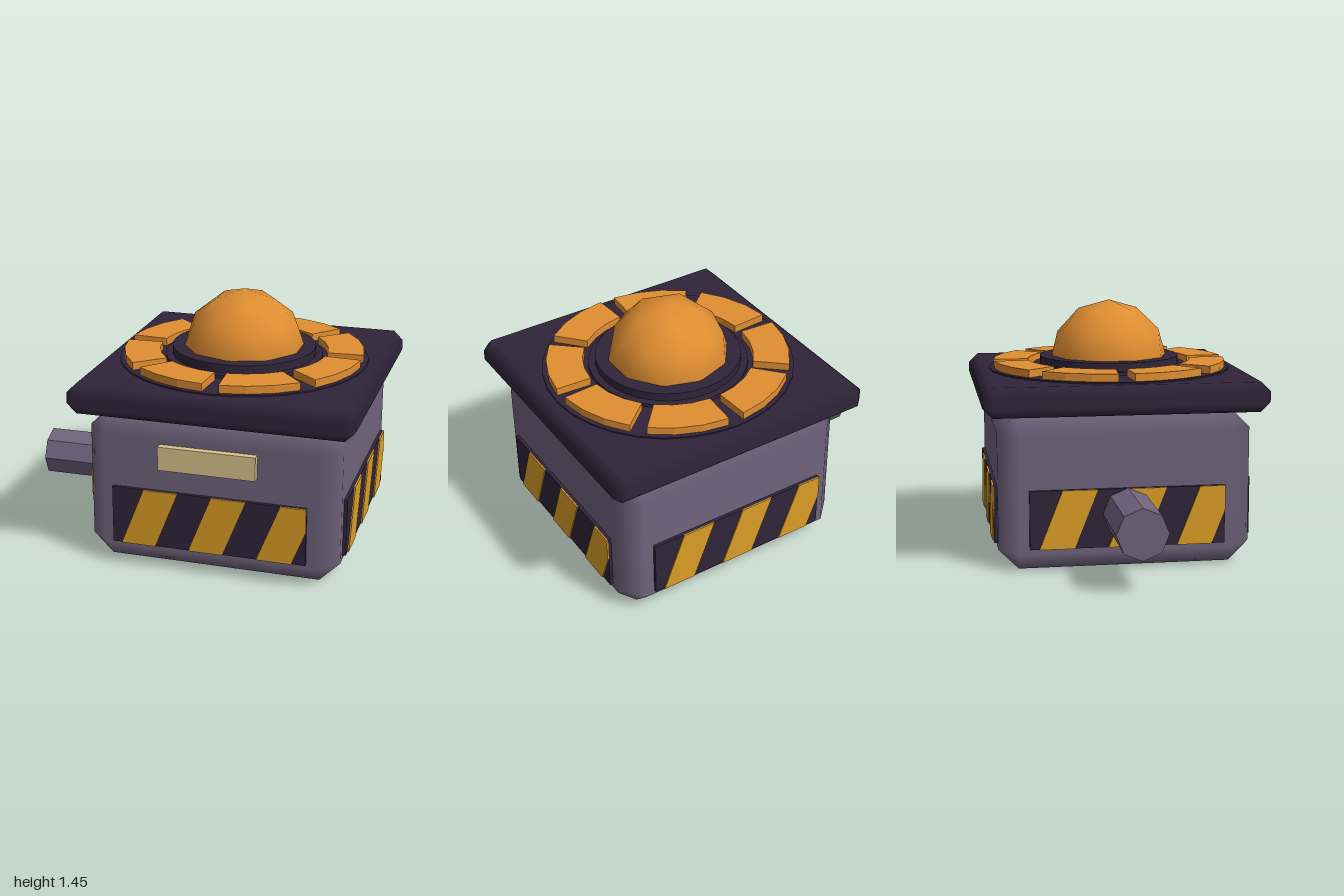
import * as THREE from 'three';

const mat = (name, color) => {
  const m = new THREE.MeshStandardMaterial({ color });
  m.name = name;
  return m;
};

// Box with one chamfer on every edge; axis normals blend across the chamfers.
function chamferBox(w, h, d, c) {
  const geo = new THREE.BoxGeometry(w, h, d);
  const pos = geo.attributes.position, nor = geo.attributes.normal;
  const index = Array.from(geo.index.array);
  const lookup = {};
  const point = (i) => new THREE.Vector3().fromBufferAttribute(pos, i);
  for (let i = 0; i < pos.count; i++) {
    const p = point(i).toArray();
    const n = [nor.getX(i), nor.getY(i), nor.getZ(i)];
    const axis = n.findIndex((v) => Math.abs(v) > 0.5);
    const s = p.map(Math.sign);
    lookup[axis + ':' + s] = i;
    pos.setXYZ(i, ...p.map((v, k) => (k === axis ? v : v - s[k] * c)));
  }
  const tri = (a, b, e, out) => {
    const n = point(b).sub(point(a)).cross(point(e).sub(point(a)));
    index.push(...(n.dot(out) > 0 ? [a, b, e] : [a, e, b]));
  };
  const signs = [-1, 1];
  for (let a = 0; a < 3; a++) {
    const b = (a + 1) % 3, t = (a + 2) % 3;
    for (const sa of signs) for (const sb of signs) {
      const at = (axis, st) => {
        const s = [];
        s[a] = sa; s[b] = sb; s[t] = st;
        return lookup[axis + ':' + s];
      };
      const out = new THREE.Vector3().setComponent(a, sa).setComponent(b, sb);
      tri(at(a, -1), at(a, 1), at(b, 1), out);
      tri(at(a, -1), at(b, 1), at(b, -1), out);
    }
  }
  for (const x of signs) for (const y of signs) for (const z of signs) {
    const k = ':' + [x, y, z];
    tri(lookup[0 + k], lookup[1 + k], lookup[2 + k], new THREE.Vector3(x, y, z));
  }
  geo.setIndex(index);
  geo.clearGroups();
  return geo;
}

function extrude(points, depth) {
  const shape = new THREE.Shape(points.map(([x, y]) => new THREE.Vector2(x, y)));
  return new THREE.ExtrudeGeometry(shape, { depth, bevelEnabled: false });
}

export function createModel() {
  const casing = mat('casingGrey', 0x70637c);
  const dark = mat('darkPlum', 0x302539);
  const orange = mat('orange', 0xe08e32);
  const yellow = mat('hazardYellow', 0xdc9e26);
  const khaki = mat('paleKhaki', 0xd8c48c);

  const model = new THREE.Group();
  const unit = new THREE.Group();
  unit.name = 'baseUnit';
  unit.position.x = 0.205;
  model.add(unit);
  const add = (name, geo, material, x = 0, y = 0, z = 0, parent = unit) => {
    const mesh = new THREE.Mesh(geo, material);
    mesh.name = name;
    mesh.position.set(x, y, z);
    parent.add(mesh);
    return mesh;
  };

  // Casing and overhanging lid
  add('body', chamferBox(1.425, 0.885, 1.425, 0.113), casing, 0, 0.4425, 0);
  add('lid', chamferBox(1.59, 0.168, 1.59, 0.054), dark, 0, 0.964, 0);

  // Stepped discs on the lid
  const disc = (name, r, y0, y1) =>
    add(name, new THREE.CylinderGeometry(r, r, y1 - y0, 32), dark, 0, (y0 + y1) / 2, 0);
  disc('ringBase', 0.71, 1.03, 1.056);
  disc('domeStep', 0.45, 1.03, 1.075);
  disc('domeCollar', 0.41, 1.03, 1.122);

  // Eight raised ring segments
  const gap = 0.067, steps = 3;
  const arc = [];
  for (let i = 0; i <= steps; i++) arc.push(gap + (Math.PI / 4 - 2 * gap) * (i / steps));
  const outline = [
    ...arc.map((a) => [0.685 * Math.cos(a), 0.685 * Math.sin(a)]),
    ...arc.slice().reverse().map((a) => [0.48 * Math.cos(a), 0.48 * Math.sin(a)]),
  ];
  const segment = extrude(outline, 0.05).rotateX(-Math.PI / 2);
  for (let i = 0; i < 8; i++) {
    add('ringSegment', segment, orange, 0, 1.05, 0).rotation.y = (i * Math.PI) / 4;
  }

  // Faceted-outline dome with a vertex at its peak
  const dome = new THREE.IcosahedronGeometry(0.347, 1);
  dome.rotateZ(-Math.atan(2 / (1 + Math.sqrt(5))));
  add('dome', dome, orange, 0, 1.1, 0);

  // Hazard panel on each of the four sides
  const half = 0.547, low = 0.14, high = 0.47, lean = 0.13, width = 0.195;
  const panelGeo = new THREE.BoxGeometry(half * 2, high - low, 0.03);
  const stripeGeos = [-0.495, -0.11, 0.275].map((x) => {
    const pts = [[x, low], [x + width, low]];
    if (x + width + lean > half) {
      pts.push([half, low + ((half - x - width) / lean) * (high - low)], [half, high]);
    } else pts.push([x + width + lean, high]);
    pts.push([x + lean, high]);
    return extrude(pts, 0.008);
  });
  for (let i = 0; i < 4; i++) {
    const side = new THREE.Group();
    side.name = 'hazardPanel';
    side.rotation.y = (i * Math.PI) / 2;
    unit.add(side);
    add('panelBack', panelGeo, dark, 0, (low + high) / 2, 0.717, side);
    for (const geo of stripeGeos) add('stripe', geo, yellow, 0, 0, 0.731, side);
  }

  // Front name plate, left blank
  add('frontPlate', new THREE.BoxGeometry(0.545, 0.135, 0.06), khaki, -0.002, 0.673, 0.724);

  // Eight-sided pipe out of the right side
  const pipe = new THREE.CylinderGeometry(0.142, 0.142, 0.55, 8).toNonIndexed();
  pipe.rotateZ(Math.PI / 2);
  pipe.computeVertexNormals();
  add('sidePipe', pipe, casing, -0.93, 0.33, 0);

  return model;
}
